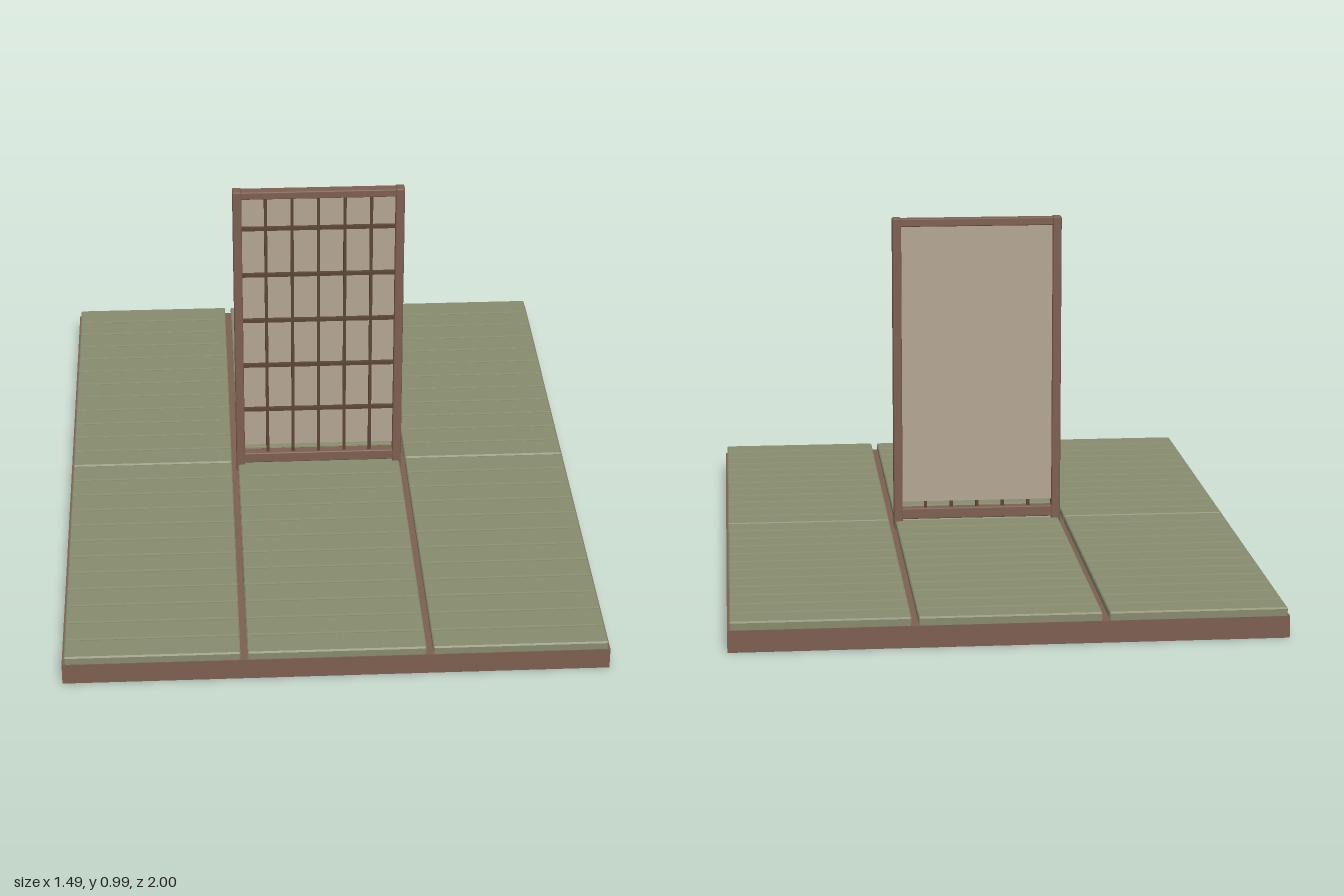
import * as THREE from 'three';
import { RoundedBoxGeometry } from 'three/addons/geometries/RoundedBoxGeometry.js';

export function createModel() {
  const mat = (name, color, extra = {}) => {
    const m = new THREE.MeshStandardMaterial({ color, ...extra });
    m.name = name;
    return m;
  };
  const wood = mat('brown wood', 0x7d5f50);
  const lattice = mat('dark lattice wood', 0x5a4536);
  const straw = mat('green straw', 0x878b6d);
  const paper = mat('paper', 0xb3a592, { side: THREE.DoubleSide });

  const model = new THREE.Group();
  model.name = 'matFloorWithScreen';
  const add = (parent, name, geometry, material, x, y, z) => {
    const mesh = new THREE.Mesh(geometry, material);
    mesh.name = name;
    mesh.position.set(x, y, z);
    parent.add(mesh);
    return mesh;
  };
  // Box given by its extents in x, y and z
  const slab = (parent, name, material, [x0, x1], [y0, y1], [z0, z1], round = 0) => {
    const size = [x1 - x0, y1 - y0, z1 - z0];
    const geometry = round ? new RoundedBoxGeometry(...size, 1, round) : new THREE.BoxGeometry(...size);
    return add(parent, name, geometry, material, (x0 + x1) / 2, (y0 + y1) / 2, (z0 + z1) / 2);
  };

  // Floor base
  slab(model, 'floorBase', wood, [-0.745, 0.745], [0, 0.06], [-1, 1]);

  // Mats: a shallow grooved section swept across x, with a small bevel
  const floor = new THREE.Group();
  floor.name = 'mats';
  model.add(floor);
  const matGeometry = (width, length) => {
    const h = 0.023, half = length / 2, ribs = 12, bevel = 0.003;
    const s = new THREE.Shape();
    s.moveTo(-half, 0);
    s.lineTo(half, 0);
    s.lineTo(half, h - 0.004);
    s.lineTo(half - 0.004, h);
    for (let i = ribs - 1; i > 0; i--) {
      const z = -half + (length * i) / ribs;
      s.lineTo(z + 0.005, h);
      s.lineTo(z, h - 0.0015);
      s.lineTo(z - 0.005, h);
    }
    s.lineTo(-half + 0.004, h);
    s.lineTo(-half, h - 0.004);
    s.closePath();
    const g = new THREE.ExtrudeGeometry(s, {
      depth: width - 2 * bevel, bevelEnabled: true, bevelSegments: 1,
      bevelThickness: bevel, bevelSize: bevel, bevelOffset: -bevel,
    });
    return g.translate(0, 0, bevel - width / 2).rotateY(Math.PI / 2);
  };
  for (const [x0, x1] of [[-0.739, -0.262], [-0.243, 0.243], [0.262, 0.739]]) {
    const geometry = matGeometry(x1 - x0, 0.996);
    for (const z of [-0.5, 0.5]) add(floor, 'mat', geometry, straw, (x0 + x1) / 2, 0.06, z);
  }

  // Sliding screen frame
  const screen = new THREE.Group();
  screen.name = 'slidingScreen';
  model.add(screen);
  for (const side of [-1, 1]) {
    const xs = [side * 0.222, side * 0.248].sort((a, b) => a - b);
    slab(screen, 'screenPost', wood, xs, [0.06, 0.99], [-0.018, 0.018], 0.004);
  }
  slab(screen, 'topRail', wood, [-0.224, 0.224], [0.965, 0.988], [-0.016, 0.016], 0.003);
  slab(screen, 'bottomRail', wood, [-0.224, 0.224], [0.088, 0.12], [-0.016, 0.016], 0.003);

  // Paper pane, stopping short of the bottom rail
  slab(screen, 'paperPane', paper, [-0.223, 0.223], [0.14, 0.967], [-0.007, -0.004]);

  // Lattice bars in front of the paper
  for (let i = -2; i <= 2; i++) {
    const x = i * 0.0765;
    slab(screen, 'verticalBar', lattice, [x - 0.0045, x + 0.0045], [0.118, 0.967], [-0.003, 0.007]);
  }
  for (let i = 0; i < 5; i++) {
    const y = 0.267 + i * 0.15;
    slab(screen, 'horizontalBar', lattice, [-0.223, 0.223], [y - 0.005, y + 0.005], [-0.002, 0.009]);
  }
  return model;
}
